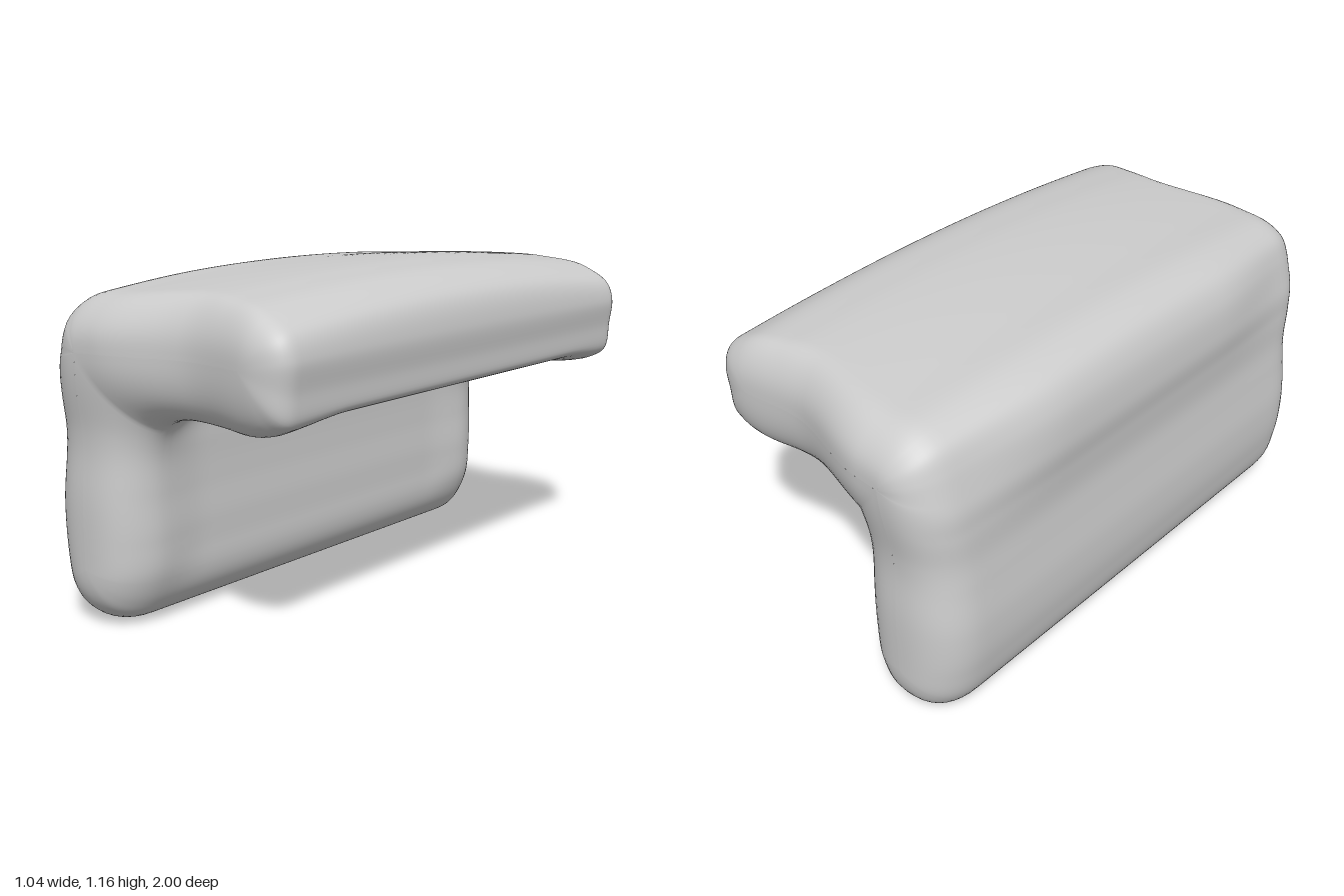
import * as THREE from 'three';

const { lerp, smoothstep, clamp } = THREE.MathUtils;

// Outline of the L-shaped section, clockwise: x, y and the place s on the
// centre line (0 foot, 1 corner, 2 arm tip) that each point belongs to
const OUTLINE = [
  [0.497, 0.775, 2], [0.45, 0.743, 2], [0.36, 0.72, 1.95], [0.2, 0.718, 1.75], [0.05, 0.718, 1.5],
  [-0.03, 0.7, 1.25], [-0.08, 0.66, 1], [-0.11, 0.58, 0.75], [-0.118, 0.45, 0.42], [-0.117, 0.3, 0.15],
  [-0.13, 0.17, 0], [-0.17, 0.08, 0], [-0.22, 0.024, 0], [-0.32, 0, 0], [-0.42, 0.028, 0],
  [-0.48, 0.1, 0], [-0.51, 0.22, 0.06], [-0.52, 0.38, 0.28], [-0.507, 0.54, 0.5], [-0.5, 0.65, 0.66],
  [-0.508, 0.76, 0.82], [-0.52, 0.88, 1], [-0.503, 1, 1], [-0.46, 1.08, 1], [-0.38, 1.125, 1],
  [-0.2, 1.143, 1.2], [0.1, 1.16, 1.6], [0.25, 1.156, 1.82], [0.4, 1.13, 2], [0.49, 1.07, 2],
  [0.52, 0.97, 2], [0.51, 0.87, 2],
];

const STEPS = 8;    // samples between outline points
const CAP = 14;     // rings on each rounded end
const WALL = 40;    // spans along the length

// Centre line of the leg and arm
function centre(s) {
  return s < 1
    ? [-0.315, lerp(0.2, 0.92, s)]
    : [lerp(-0.315, 0.36, s - 1), lerp(0.92, 0.93, s - 1)];
}

// Half length in z, gently wavy over the end faces
function halfLength(x, y) {
  const leg = 0.983 - 0.013 * Math.exp(-(((y - 0.6) / 0.13) ** 2)) + 0.017 * smoothstep(y, 0.65, 0.9);
  const arm = 0.925 + 0.025 * smoothstep(x, 0.15, 0.42);
  return lerp(leg, arm, smoothstep(x, -0.22, 0.15));
}

// Depth of the end rounding at t = 1 (the outline)
const roundDepth = (s) => (s < 1 ? lerp(0.2, 0.17, s) : lerp(0.17, 0.1, s - 1));

const bump = (x, y, cx, cy, r) => Math.exp(-((x - cx) ** 2 + (y - cy) ** 2) / (r * r));

// Changes of the section along the length
function shapeSection(x, y, z) {
  const end = Math.abs(z);
  const middle = 1 - smoothstep(end, 0.6, 0.86);
  // crowned top, with the outer top edge cut back towards the ends
  const cut = 0.055 * smoothstep(end, 0.4, 0.95) * bump(x, y, -0.52, 0.98, 0.2);
  const crown = 0.06 * z * z * smoothstep(y, 0.9, 1.15);
  // inner wall and underside slightly hollow, with a tighter inner corner
  const corner = 0.025 * bump(x, y, -0.07, 0.67, 0.07);
  const wall = 0.025 * smoothstep(x, -0.2, -0.11) * smoothstep(y, 0.05, 0.25) * (1 - smoothstep(y, 0.68, 0.75));
  const under = 0.025 * smoothstep(x, -0.12, 0) * (1 - smoothstep(y, 0.72, 0.82));
  return [x + cut - middle * (wall + corner), y - crown - 0.3 * cut + middle * (under + corner), z];
}

function softBodyGeometry() {
  const curve = new THREE.CatmullRomCurve3(OUTLINE.map((p) => new THREE.Vector3(...p)), true);
  const n = OUTLINE.length * STEPS;
  const positions = [];
  const index = [];

  // t runs from the centre line to the outline, f from the front end to the back
  const rings = [];
  for (let k = 0; k < CAP; k++) rings.push([Math.sin((k / CAP) * Math.PI / 2), 1]);
  for (let k = 0; k <= WALL; k++) rings.push([1, 1 - (2 * k) / WALL]);
  for (let k = CAP - 1; k >= 0; k--) rings.push([Math.sin((k / CAP) * Math.PI / 2), -1]);

  for (const [t, f] of rings) {
    for (let i = 0; i < n; i++) {
      const p = curve.getPoint(i / n);
      const s = clamp(p.z, 0, 2);
      const [cx, cy] = centre(s);
      const x = lerp(cx, p.x, t);
      const y = lerp(cy, p.y, t);
      const sink = roundDepth(s) * (1 - (1 - t ** 2.4) ** (1 / 2.4));
      positions.push(...shapeSection(x, y, f * (halfLength(x, y) - sink)));
    }
  }
  for (let k = 0; k < rings.length - 1; k++) {
    for (let i = 0; i < n; i++) {
      const j = (i + 1) % n;
      const a = k * n + i, b = k * n + j, c = a + n, d = b + n;
      index.push(a, b, c, b, d, c);
    }
  }
  const geometry = new THREE.BufferGeometry();
  geometry.setAttribute('position', new THREE.Float32BufferAttribute(positions, 3));
  geometry.setIndex(index);
  geometry.computeVertexNormals();
  return geometry;
}

export function createModel() {
  const group = new THREE.Group();
  group.name = 'softAngleBlock';
  const body = new THREE.Mesh(softBodyGeometry(), new THREE.MeshStandardMaterial({ color: 0xcccccc }));
  body.name = 'angledBody';
  group.add(body);
  return group;
}
